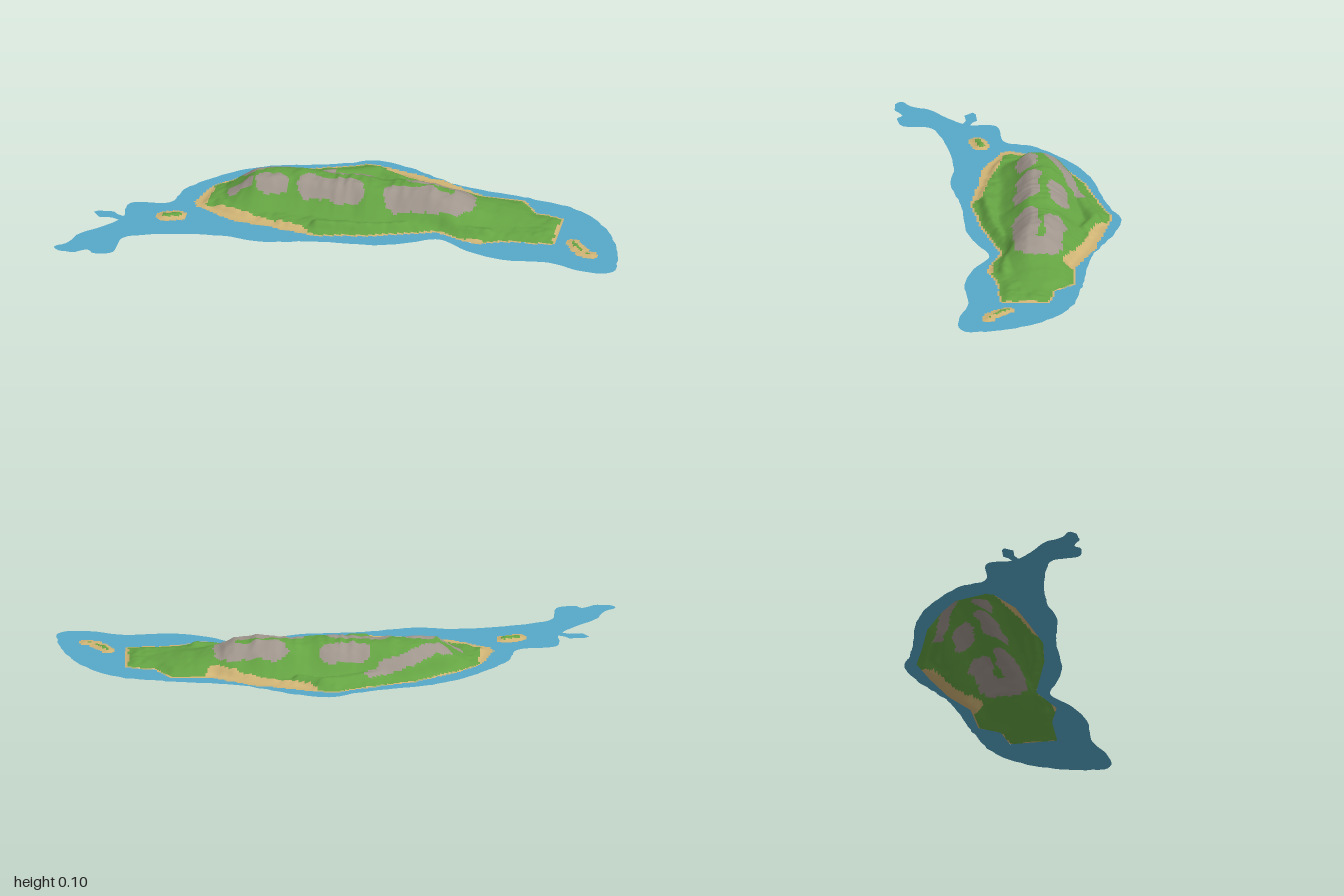
import * as THREE from 'three';

const flat = (pairs) => {
  const out = [];
  for (let i = 0; i < pairs.length; i += 2) out.push(new THREE.Vector2(pairs[i], pairs[i + 1]));
  return out;
};

// Coast of the shallow water, as x, z pairs
const SEA = flat([-1, .385, -.96, .34, -.93, .28, -.86, .215, -.8, .14, -.79, .04, -.65, .005, -.61, -.1, -.53, -.185,
  -.39, -.285, -.24, -.33, -.08, -.375, .01, -.412, .14, -.39, .32, -.315, .59, -.275, .78, -.235, .87, -.17, .95, -.06,
  .993, .08, .98, .16, .89, .17, .75, .135, .59, .15, .46, .12, .335, .06, .245, .1, .14, .14, -.08, .16, -.29, .2,
  -.4, .19, -.53, .2, -.69, .235, -.775, .28, -.785, .37, -.85, .395, -.88, .375, -.94, .405]);

// Coast of the island
const LAND = flat([-.56, -.01, -.52, -.13, -.43, -.2, -.29, -.28, -.13, -.33, 0, -.375, .14, -.35, .3, -.31, .43, -.25,
  .59, -.25, .645, -.175, .75, -.16, .75, .02, .59, .03, .47, .07, .32, .02, .19, .06, .06, .1, -.1, .125, -.29, .1,
  -.42, .08, -.55, .02]);

// Capsules: x1, z1, x2, z2, radius
const ISLETS = [[-.645, .105, -.6, .09, .03], [.81, -.005, .85, .04, .026], [.85, .05, .89, .06, .022]];
const BEACHES = [[.1, -.34, .26, -.3, .03], [.26, -.3, .43, -.235, .03], [-.5, .05, -.33, .09, .04],
  [-.33, .09, -.16, .12, .033], [-.54, -.1, -.55, .02, .035], [.45, .065, .48, .065, .02], [.75, -.15, .75, .02, .014]];
const ROCKS = [[-.43, -.06, -.38, -.07, .025], [-.31, -.07, -.28, -.07, .045], [-.16, -.075, 0, -.07, .045],
  [.15, -.07, .37, -.07, .045], [-.09, -.18, .02, -.19, .033], [.2, -.18, .36, -.17, .033], [.39, -.15, .4, -.09, .035],
  [-.39, -.14, -.26, -.2, .022], [-.26, -.21, -.12, -.26, .02]];
const BACK_RIDGE = [[-.4, -.13, -.12, -.26, .05], [-.12, -.26, .05, -.315, .05], [.05, -.315, .13, -.28, .045]];
const FRONT_RIDGE = [[-.1, .07, .1, .055, .05], [.1, .055, .3, 0, .05], [.3, 0, .5, .005, .045]];

const smooth = THREE.MathUtils.smoothstep;

function segmentDistance(x, z, x1, z1, x2, z2) {
  const dx = x2 - x1, dz = z2 - z1;
  const t = THREE.MathUtils.clamp(((x - x1) * dx + (z - z1) * dz) / (dx * dx + dz * dz || 1), 0, 1);
  return Math.hypot(x - x1 - t * dx, z - z1 - t * dz);
}

// Depth inside the nearest capsule; negative outside
const depth = (list, x, z) => Math.max(...list.map(([a, b, c, d, r]) => r - segmentDistance(x, z, a, b, c, d)));

// Distance inside a polygon; negative outside
function inset(poly, x, z) {
  let inside = false, best = 9;
  poly.forEach((a, i) => {
    const b = poly[(i + 1) % poly.length];
    best = Math.min(best, segmentDistance(x, z, a.x, a.y, b.x, b.y));
    if ((a.y > z) !== (b.y > z) && x < a.x + (z - a.y) * (b.x - a.x) / (b.y - a.y)) inside = !inside;
  });
  return inside ? best : -best;
}

// Seeded value noise in -1..1
const hash = (i, j) => { const s = Math.sin(i * 127.1 + j * 311.7) * 43758.5453; return (s - Math.floor(s)) * 2 - 1; };
function noise(x, z) {
  const i = Math.floor(x), j = Math.floor(z), u = smooth(x - i, 0, 1), v = smooth(z - j, 0, 1);
  return THREE.MathUtils.lerp(THREE.MathUtils.lerp(hash(i, j), hash(i + 1, j), u),
    THREE.MathUtils.lerp(hash(i, j + 1), hash(i + 1, j + 1), u), v);
}
const rough = (x, z) => noise(x * 22, z * 22) * .6 + noise(x * 55 + 9, z * 55) * .4;

// Piecewise linear lookup through [position, value] points
function lookup(points, p) {
  for (let i = 1; i < points.length; i++) {
    const [a, u] = points[i - 1], [b, v] = points[i];
    if (p <= b) return THREE.MathUtils.mapLinear(Math.max(p, a), a, b, u, v);
  }
  return points[points.length - 1][1];
}
const ALONG = [[-.49, 0], [-.44, .03], [-.36, .09], [-.27, .1], [-.12, .096], [0, .101], [.12, .093], [.28, .099],
  [.36, .088], [.41, .06], [.5, .036], [.6, .02], [.72, 0]];
const ACROSS = [[-.29, 0], [-.25, .2], [-.23, .36], [-.19, .72], [-.15, .97], [-.12, 1], [-.085, .97], [-.065, .84],
  [-.02, .42], [.01, .2], [.05, 0]];

function landInset(x, z) {
  return Math.max(inset(LAND, x, z), depth(ISLETS, x, z)) + rough(x, z) * .006;
}

function height(x, z) {
  const d = landInset(x, z);
  const n = rough(x, z);
  const gully = 1 - Math.abs(noise(x * 26 + n * .3, z * 7));
  const main = lookup(ALONG, x) * lookup(ACROSS, z + noise(x * 12, 3) * .012);
  const side = .031 * Math.max(smooth(depth(BACK_RIDGE, x, z), 0, .045), smooth(depth(FRONT_RIDGE, x, z), 0, .045));
  const hills = .012 + .007 * n;
  const slope = main * (.93 + .09 * gully + .05 * n);
  const h = Math.max(slope, side * (.9 + .15 * n), hills);
  const shore = smooth(d - Math.max(0, depth(BEACHES, x, z)) * .8, 0, .05);
  return Math.min(.104, .003 + h * shore);
}

function surfaceAt(x, z) {
  const d = landInset(x, z), n = rough(x, z);
  if (d < 0) return null;
  if (inset(LAND, x, z) < -.02) return d < .021 ? 'sand' : 'grass';
  if (d < .008 || depth(BEACHES, x, z) + n * .009 > 0) return 'sand';
  return depth(ROCKS, x, z) + n * .014 > 0 ? 'rock' : 'grass';
}

export function createModel() {
  const model = new THREE.Group();
  model.name = 'island';
  const paint = (name, color) => {
    const m = new THREE.MeshStandardMaterial({ color, side: THREE.DoubleSide });
    m.name = name;
    return m;
  };
  const materials = {
    grass: paint('grass green', 0x65a443), rock: paint('rock grey', 0xa0968d), sand: paint('sand', 0xd0b475),
  };

  // Shallow water, open beneath the island
  const coast = new THREE.CatmullRomCurve3(SEA.map((p) => new THREE.Vector3(p.x, 0, p.y)), true, 'centripetal');
  const ring = coast.getSpacedPoints(360).slice(0, -1).map((p) => {
    const k = 1 + .009 * rough(p.x, p.z) - .005;
    return new THREE.Vector2(p.x * k, -p.z * (k + .012 * noise(p.x * 40, p.z * 40) - .008));
  });
  const sea = new THREE.Shape(ring);
  sea.holes.push(new THREE.Path(LAND.map((p) => new THREE.Vector2(.1 + (p.x - .1) * .96, .12 - (p.y + .12) * .95))));
  const spit = new THREE.Shape(flat([-.9, -.12, -.885, -.11, -.83, -.105, -.815, -.12, -.79, -.13, -.79, -.16,
    -.83, -.145, -.875, -.15]));
  const water = new THREE.Mesh(new THREE.ShapeGeometry([sea, spit]).rotateX(-Math.PI / 2), paint('water blue', 0x56a8c9));
  water.name = 'shallowWater';
  model.add(water);

  // Terrain height grid, split into one mesh per ground cover
  const step = .0075, x0 = -.7, z0 = -.39, cols = 220, rows = 72;
  const positions = [], all = [], cover = { grass: [], rock: [], sand: [] };
  for (let j = 0; j <= rows; j++) {
    for (let i = 0; i <= cols; i++) {
      const x = x0 + i * step, z = z0 + j * step;
      positions.push(x, height(x, z), z);
      if (i === cols || j === rows) continue;
      const a = j * (cols + 1) + i, b = a + 1, c = a + cols + 1, d = c + 1;
      const faces = [a, c, b, b, c, d];
      all.push(...faces);
      const kind = surfaceAt(x + step / 2, z + step / 2);
      if (kind) cover[kind].push(...faces);
    }
  }
  const grid = new THREE.BufferGeometry();
  grid.setAttribute('position', new THREE.Float32BufferAttribute(positions, 3));
  grid.setIndex(all);
  grid.computeVertexNormals();

  const names = { grass: 'grassland', rock: 'rockFaces', sand: 'beaches' };
  for (const kind of Object.keys(cover)) {
    // Keep only the vertices this cover uses, with the shared smooth normals
    const remap = new Map(), pos = [], nor = [];
    const index = cover[kind].map((v) => {
      if (!remap.has(v)) {
        remap.set(v, remap.size);
        pos.push(...positions.slice(v * 3, v * 3 + 3));
        nor.push(...grid.attributes.normal.array.slice(v * 3, v * 3 + 3));
      }
      return remap.get(v);
    });
    const geometry = new THREE.BufferGeometry();
    geometry.setAttribute('position', new THREE.Float32BufferAttribute(pos, 3));
    geometry.setAttribute('normal', new THREE.Float32BufferAttribute(nor, 3));
    geometry.setIndex(index);
    const mesh = new THREE.Mesh(geometry, materials[kind]);
    mesh.name = names[kind];
    model.add(mesh);
  }
  return model;
}
